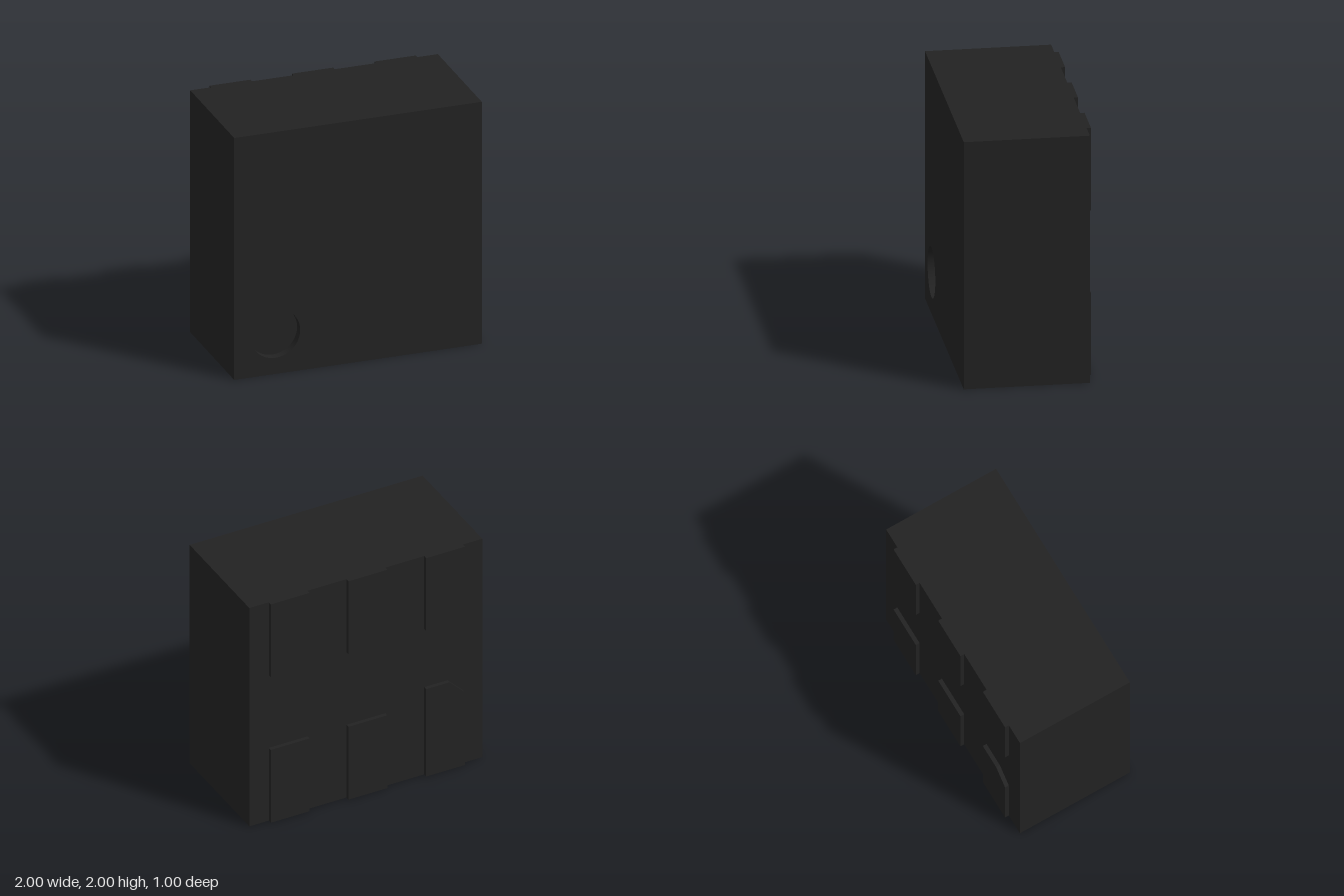
import * as THREE from 'three';
import { toCreasedNormals } from 'three/addons/utils/BufferGeometryUtils.js';

const BACK = -0.467, FRONT = 0.5;
const PAD_W = 0.333, PAD_H = 0.667, PAD_T = 0.033;
const DOT = { x: -0.667, y: 0.333, r: 0.2, depth: 0.067 };

export function createModel() {
  const model = new THREE.Group();
  model.name = 'chipPackage';
  const material = new THREE.MeshStandardMaterial({ color: 0x222222 });

  const add = (name, geometry, x, y, z, parent = model) => {
    const mesh = new THREE.Mesh(geometry, material);
    mesh.name = name;
    mesh.position.set(x, y, z);
    parent.add(mesh);
    return mesh;
  };

  // Body: a box whose front side is left open for the face with the dimple
  const box = new THREE.BoxGeometry(2, 2, FRONT - BACK);
  const index = Array.from(box.index.array);
  index.splice(24, 6);
  box.setIndex(index);
  box.clearGroups();
  add('body', box, 0, 1, (FRONT + BACK) / 2);

  // Front face with a round opening
  const face = new THREE.Shape([
    new THREE.Vector2(-1, 0), new THREE.Vector2(1, 0),
    new THREE.Vector2(1, 2), new THREE.Vector2(-1, 2),
  ]);
  face.holes.push(new THREE.Path().absarc(DOT.x, DOT.y, DOT.r, 0, Math.PI * 2, true));
  add('frontFace', new THREE.ShapeGeometry(face, 32), 0, 0, FRONT);

  // Orientation dimple: wall and floor of the shallow recess
  const dimple = new THREE.LatheGeometry([
    new THREE.Vector2(DOT.r, 0),
    new THREE.Vector2(DOT.r, -DOT.depth),
    new THREE.Vector2(0, -DOT.depth),
  ], 64);
  dimple.rotateX(Math.PI / 2);
  add('orientationDimple', toCreasedNormals(dimple, 0.6), DOT.x, DOT.y, FRONT);

  // Contact pads on the back, three along each edge
  const pads = new THREE.Group();
  pads.name = 'contactPads';
  model.add(pads);
  const padGeometry = new THREE.BoxGeometry(PAD_W, PAD_H, PAD_T);
  for (const x of [-0.667, 0, 0.667]) {
    add('upperPad', padGeometry, x, 2 - PAD_H / 2, BACK - PAD_T / 2, pads);
    if (x >= 0) add('lowerPad', padGeometry, x, PAD_H / 2, BACK - PAD_T / 2, pads);
  }

  // First pad: taller, with a cut outer corner
  const w = PAD_W / 2, cut = 0.133;
  const first = new THREE.Shape([
    new THREE.Vector2(-w, 0), new THREE.Vector2(w, 0),
    new THREE.Vector2(w, PAD_H + cut), new THREE.Vector2(-w + cut, PAD_H + cut),
    new THREE.Vector2(-w, PAD_H),
  ]);
  const firstGeometry = new THREE.ExtrudeGeometry(first, { depth: PAD_T, bevelEnabled: false });
  add('firstPad', firstGeometry, -0.667, 0, BACK - PAD_T, pads);

  return model;
}
